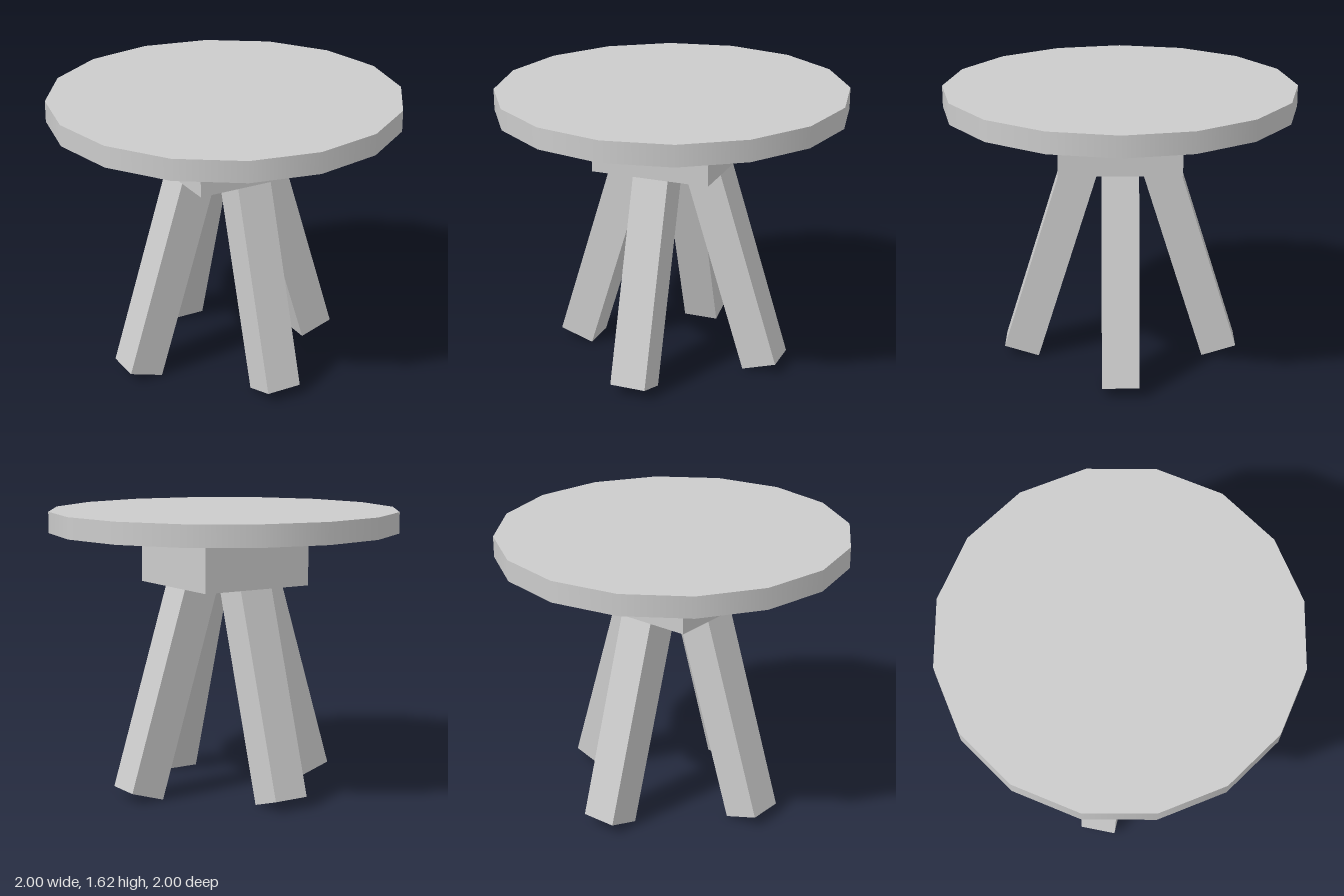
import * as THREE from 'three';

export function createModel() {
  const group = new THREE.Group();
  const material = new THREE.MeshStandardMaterial({ color: 0xcccccc });

  const add = (name, geometry, parent = group) => {
    const mesh = new THREE.Mesh(geometry, material);
    mesh.name = name;
    parent.add(mesh);
    return mesh;
  };

  // Sixteen-sided round top
  const topBase = 1.495, topThickness = 0.12;
  add('tableTop', new THREE.CylinderGeometry(1, 1, topThickness, 16))
    .position.y = topBase + topThickness / 2;

  // Square block joining the legs to the top
  const blockBase = 1.19, blockWidth = 0.69;
  add('hubBlock', new THREE.BoxGeometry(blockWidth, topBase - blockBase, blockWidth))
    .position.y = (topBase + blockBase) / 2;

  // Four splayed square legs, their upper ends set into the block
  const legWidth = 0.208, legLength = 1.36;
  const splay = THREE.MathUtils.degToRad(17.3);
  const legGeometry = new THREE.BoxGeometry(legWidth, legLength, legWidth)
    .translate(0, legLength / 2, 0)
    .rotateZ(splay)
    .translate(0.58, (legWidth / 2) * Math.sin(splay), 0);
  const legs = new THREE.Group();
  legs.name = 'legs';
  group.add(legs);
  for (let i = 0; i < 4; i++) {
    add('leg', legGeometry, legs).rotation.y = (i * Math.PI) / 2;
  }

  return group;
}
